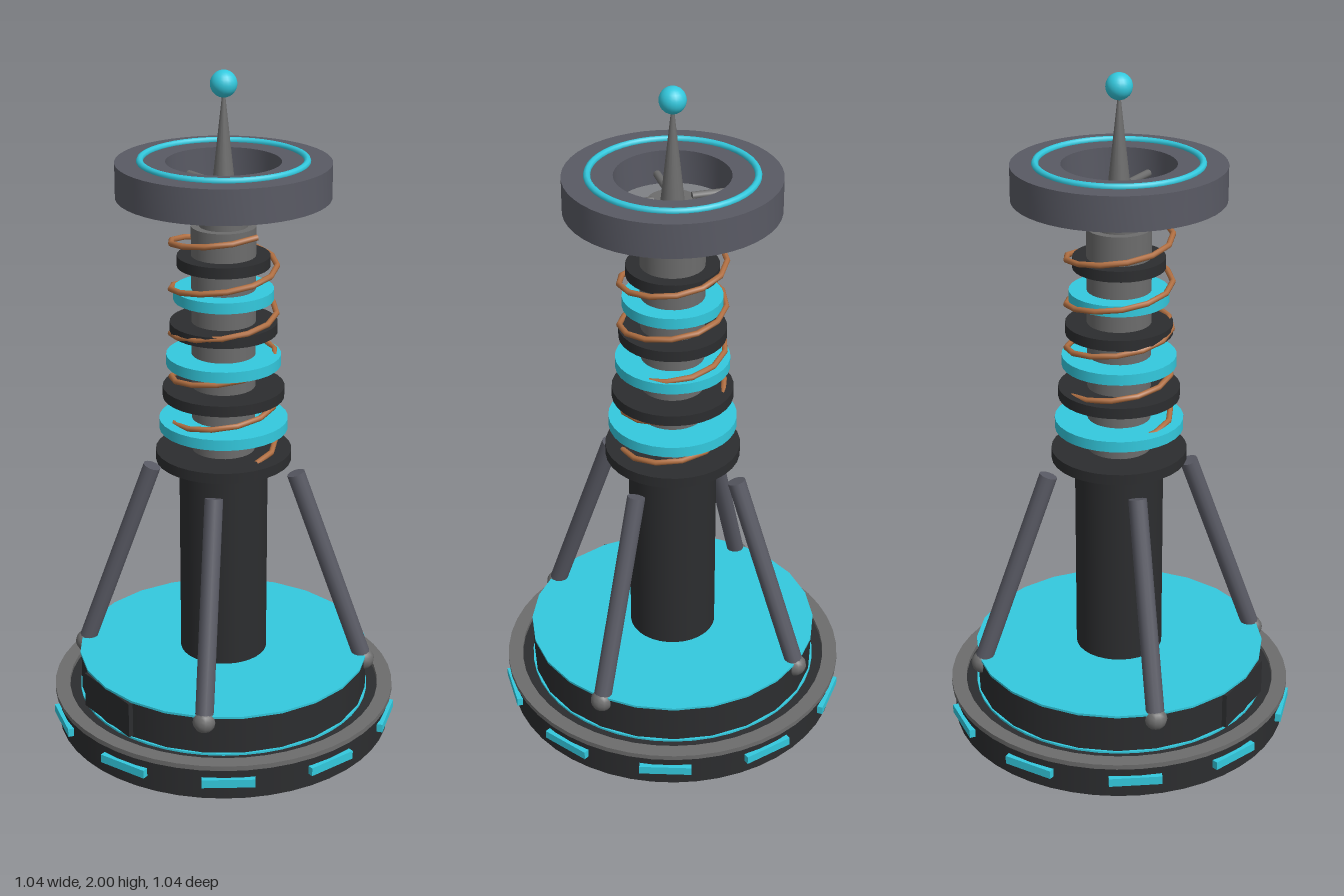
import * as THREE from 'three';
import { toCreasedNormals } from 'three/addons/utils/BufferGeometryUtils.js';

const mat = (color) => new THREE.MeshStandardMaterial({ color });

export function createModel() {
  const model = new THREE.Group();
  const dark = mat(0x2c2d2f), grey = mat(0x6c6c6c), slate = mat(0x595a64);
  const cyan = mat(0x33c9de), copper = mat(0xb06f42);

  const add = (name, geometry, material, x = 0, y = 0, z = 0) => {
    const mesh = new THREE.Mesh(geometry, material);
    mesh.name = name;
    mesh.position.set(x, y, z);
    model.add(mesh);
    return mesh;
  };
  // Upright cylinder between two heights
  const drum = (name, r, y0, y1, material, sides = 32) =>
    add(name, new THREE.CylinderGeometry(r, r, y1 - y0, sides), material, 0, (y0 + y1) / 2);
  // Ring with a rectangular section
  const ring = (name, rIn, rOut, y0, y1, material) => {
    const section = [[rIn, y0], [rOut, y0], [rOut, y1], [rIn, y1], [rIn, y0]]
      .map(([r, y]) => new THREE.Vector2(r, y));
    return add(name, toCreasedNormals(new THREE.LatheGeometry(section, 48), 0.6), material);
  };
  // Round bar between two points
  const bar = (name, a, b, r, material) => {
    const dir = b.clone().sub(a);
    const mesh = add(name, new THREE.CylinderGeometry(r, r, dir.length(), 12), material);
    mesh.position.copy(a).add(b).multiplyScalar(0.5);
    mesh.quaternion.setFromUnitVectors(new THREE.Vector3(0, 1, 0), dir.normalize());
  };

  // Stepped base
  drum('baseDrum', 0.51, 0, 0.1, dark, 48);
  ring('baseRim', 0.475, 0.52, 0.098, 0.113, grey);
  drum('upperBase', 0.438, 0.1, 0.22, dark, 24);
  drum('baseLid', 0.441, 0.22, 0.227, cyan, 24);
  drum('baseGlowSeam', 0.442, 0.1, 0.106, cyan, 48);
  add('frontPanel', new THREE.BoxGeometry(0.23, 0.11, 0.03), dark, 0, 0.165, 0.422);

  // Light strips around the base
  for (let i = 0; i < 10; i++) {
    const a = (i / 10) * Math.PI * 2;
    const strip = add('baseLight', new THREE.BoxGeometry(0.02, 0.026, 0.155), cyan,
      0.511 * Math.cos(a), 0.056, 0.511 * Math.sin(a));
    strip.rotation.y = -a;
  }

  // Central column
  drum('lowerColumn', 0.131, 0.22, 0.86, dark);
  drum('upperColumn', 0.093, 0.86, 1.56, grey);
  drum('columnNeck', 0.07, 1.56, 1.67, grey);

  // Four braces with ball feet
  for (const sx of [-1, 1]) for (const sz of [-1, 1]) {
    const foot = new THREE.Vector3(0.304 * sx, 0.205, 0.304 * sz);
    bar('brace', foot, new THREE.Vector3(0.152 * sx, 0.81, 0.152 * sz), 0.027, slate);
    add('braceFoot', new THREE.SphereGeometry(0.034, 12, 8), grey, foot.x, foot.y, foot.z);
  }

  // Alternating discs, shrinking upwards
  for (let i = 0; i < 7; i++) {
    const y = 0.866 + i * 0.0987;
    drum(i % 2 ? 'glowDisc' : 'darkDisc', 0.2 - i * 0.0111, y - 0.016, y + 0.016, i % 2 ? cyan : dark);
  }

  // Coil winding around the column
  const turns = 5, coilPoints = [];
  for (let i = 0; i <= turns * 12; i++) {
    const a = (i / 12) * Math.PI * 2;
    coilPoints.push(new THREE.Vector3(
      0.153 * Math.cos(a), 0.88 + (0.68 * i) / (turns * 12), -0.153 * Math.sin(a)));
  }
  add('coil', new THREE.TubeGeometry(new THREE.CatmullRomCurve3(coilPoints), 64, 0.0085, 8), copper);

  // Head ring, glowing inlay and spokes
  ring('headRing', 0.163, 0.305, 1.645, 1.745, slate);
  const inlay = add('headInlay', new THREE.TorusGeometry(0.234, 0.01, 8, 48), cyan, 0, 1.748);
  inlay.rotation.x = Math.PI / 2;
  for (let i = 0; i < 4; i++) {
    const a = (i / 4) * Math.PI * 2, c = Math.cos(a), s = Math.sin(a);
    bar('headSpoke', new THREE.Vector3(0.055 * c, 1.675, 0.055 * s),
      new THREE.Vector3(0.168 * c, 1.675, 0.168 * s), 0.011, grey);
  }

  // Spire with a glowing tip
  add('spire', new THREE.CylinderGeometry(0.004, 0.034, 0.27, 16), grey, 0, 1.8);
  add('spireTip', new THREE.SphereGeometry(0.038, 20, 14), cyan, 0, 1.962);

  return model;
}
